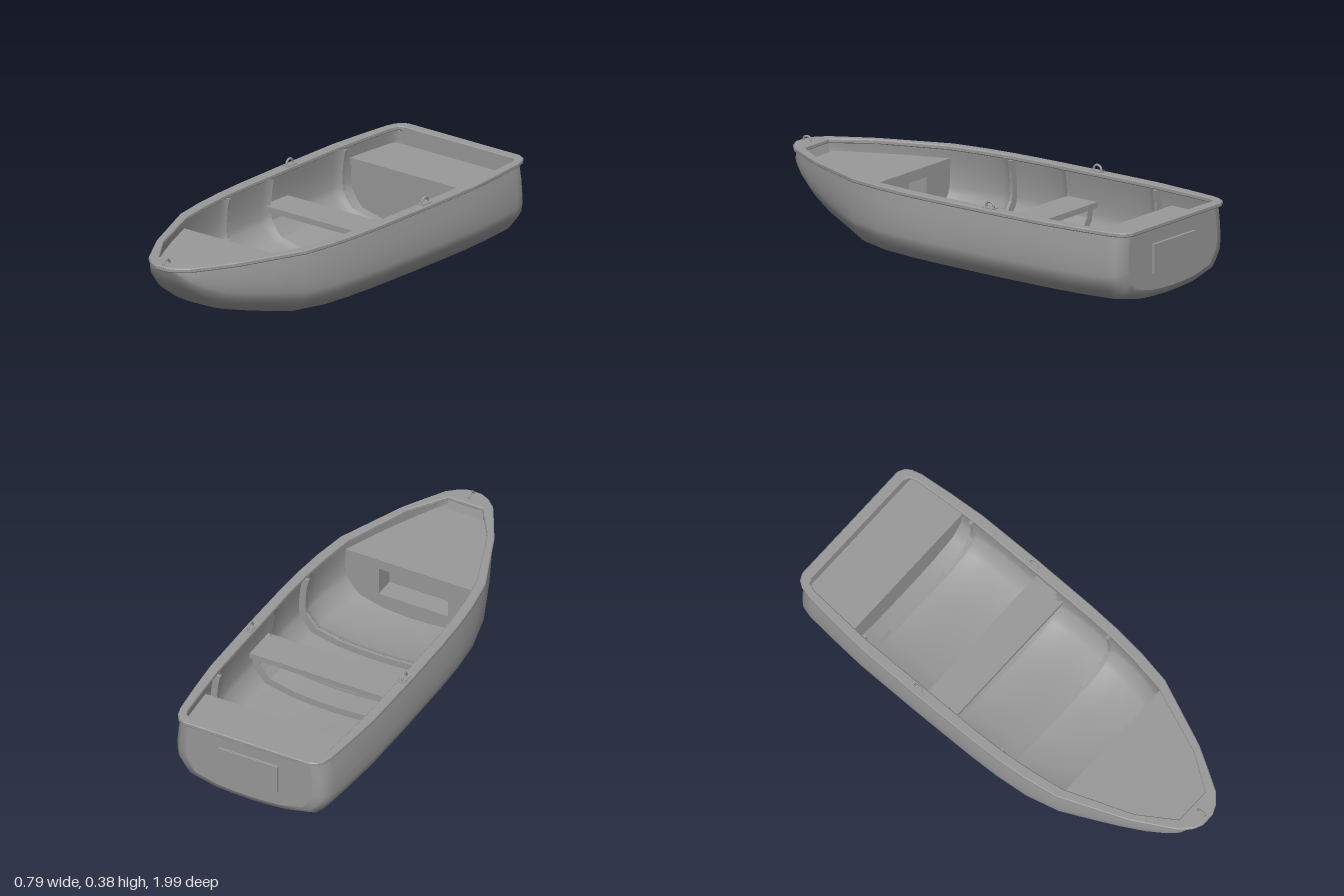
import * as THREE from 'three';

const mat = new THREE.MeshStandardMaterial({ color: 0x999999, side: THREE.DoubleSide });
const TOP = 0.33;

// Hull stations, stern to bow: z, half breadth, keel height
const STATIONS = [
  [-0.977, 0.3, 0.05], [-0.968, 0.335, 0.028], [-0.945, 0.357, 0.013], [-0.9, 0.368, 0.004],
  [-0.75, 0.38, 0.001], [-0.6, 0.39, 0.001], [-0.3, 0.392, 0.003], [0, 0.39, 0.007],
  [0.15, 0.385, 0.01], [0.3, 0.37, 0.014], [0.45, 0.343, 0.018], [0.6, 0.283, 0.058],
  [0.7, 0.236, 0.088], [0.8, 0.188, 0.134], [0.88, 0.145, 0.192], [0.93, 0.112, 0.245],
  [0.952, 0.083, 0.285], [0.963, 0.055, 0.31], [0.969, 0.02, 0.327],
];
// Half section from keel to gunwale: fraction of breadth, fraction of height
const PROFILE = [[0, 0], [0.25, 0.008], [0.5, 0.03], [0.84, 0.12], [0.92, 0.23], [0.985, 0.34],
  [1, 0.44], [1, 0.6], [0.985, 0.8], [0.955, 1]];

function stationAt(z) {
  const i = Math.min(Math.max(STATIONS.findIndex((s) => s[0] >= z), 1), STATIONS.length - 1);
  const [a, b] = [STATIONS[i - 1], STATIONS[i]];
  const t = (z - a[0]) / (b[0] - a[0]);
  return a.map((v, k) => v + (b[k] - v) * t);
}

// Full section as 2D points, from the right gunwale under the keel to the left;
// the bilge is drawn in towards the bow
function section(z, inset = 0, top = TOP) {
  const [, w0, k0] = stationAt(z);
  const w = Math.max(w0 - inset, 0.002), k = Math.min(k0 + inset, top - 0.002);
  const round = THREE.MathUtils.clamp((z - 0.3) * 0.8, 0, 0.2);
  const half = PROFILE.map(([x, y]) => new THREE.Vector2(
    x * w * (1 - round * (1 - y) ** 3), Math.min(k + y * (TOP - k), top)));
  return [...half.slice(1).reverse().map((p) => new THREE.Vector2(-p.x, p.y)), ...half];
}

function add(parent, name, geo, x = 0, y = 0, z = 0) {
  const mesh = new THREE.Mesh(geo, mat);
  mesh.name = name;
  mesh.position.set(x, y, z);
  parent.add(mesh);
  return mesh;
}

const box = (w, h, d) => new THREE.BoxGeometry(w, h, d);
const extrude = (shape, depth) => new THREE.ExtrudeGeometry(shape, { depth, bevelEnabled: false });

// Skin lofted through rows of [z, inset]
function skin(rows, inward) {
  const pos = [], idx = [];
  const n = PROFILE.length * 2 - 1;
  rows.forEach(([z, inset], i) => {
    section(z, inset).forEach((p) => pos.push(p.x, p.y, z));
    if (i === 0) return;
    for (let j = 0; j < n - 1; j++) {
      const a = (i - 1) * n + j, b = a + 1, c = a + n, d = c + 1;
      if (inward) idx.push(a, c, b, b, c, d);
      else idx.push(a, b, c, b, d, c);
    }
  });
  const g = new THREE.BufferGeometry();
  g.setAttribute('position', new THREE.Float32BufferAttribute(pos, 3));
  g.setIndex(idx);
  g.computeVertexNormals();
  return g;
}

// Lining of one bay, sweeping down from the frame at its aft end
function bay(z0, z1) {
  const sweep = [[0, 0.045], [0.01, 0.034], [0.04, 0.025], [0.1, 0.018], [0.18, 0.015]];
  const rest = STATIONS.map((s) => s[0]).filter((z) => z > z0 + 0.2 && z < z1);
  return skin([...sweep.map(([d, inset]) => [z0 + d, inset]), ...[...rest, z1].map((z) => [z, 0.015])], true);
}

// Flat plan shape (x, z) mirrored about the centreline, laid down with its top at y = 0
function mirrored(pts) {
  return [...pts, ...[...pts].reverse().map(([x, z]) => [-x, z])].map(([x, z]) => new THREE.Vector2(x, z));
}

// Deck that follows the inside of the hull between two stations
function deck(z0, z1, thickness) {
  const zs = [z0, ...STATIONS.map((s) => s[0]).filter((z) => z > z0 && z < z1), z1];
  const outline = mirrored(zs.map((z) => [(stationAt(z)[1] - 0.015) * 0.985, z]));
  return extrude(new THREE.Shape(outline), thickness).rotateX(Math.PI / 2);
}

// U-shaped frame against the inside of the hull
function rib(z, depth, top) {
  const inner = section(z, 0.045, top).reverse();
  return extrude(new THREE.Shape([...section(z, 0.012, top), ...inner]), depth);
}

function rectangle(w, h, y, Type = THREE.Shape) {
  return new Type([[-w, y - h], [w, y - h], [w, y + h], [-w, y + h]].map((p) => new THREE.Vector2(...p)));
}

export function createModel() {
  const boat = new THREE.Group();
  boat.name = 'rowingBoat';

  // Outer hull, lining in bays, and transom
  add(boat, 'hull', skin(STATIONS.map((s) => [s[0], 0]), false));
  add(boat, 'sternLining', skin([-0.955, -0.945, -0.9, -0.75, -0.62].map((z) => [z, 0.015]), true));
  for (const [z0, z1] of [[-0.615, -0.15], [-0.15, 0.15], [0.15, 0.935]]) add(boat, 'lining', bay(z0, z1));
  const sternZ = STATIONS[0][0];
  add(boat, 'transom', new THREE.ShapeGeometry(new THREE.Shape(section(sternZ))), 0, 0, sternZ);
  add(boat, 'transomLining', new THREE.ShapeGeometry(new THREE.Shape(section(-0.955, 0.015))), 0, 0, -0.955);
  add(boat, 'motorPad', box(0.28, 0.13, 0.018), 0, 0.192, -0.981);

  // Gunwale all round, with softened edges
  const outer = [[0.3, -1], [0.33, -0.985], [0.347, -0.96], [0.36, -0.915], [0.376, -0.77], [0.39, -0.6],
    [0.393, -0.3], [0.39, 0], [0.384, 0.15], [0.37, 0.3], [0.345, 0.45], [0.222, 0.75], [0.165, 0.85],
    [0.115, 0.935], [0.07, 0.975], [0.03, 0.993]];
  const inner = [[0.29, -0.955], [0.313, -0.945], [0.325, -0.91], [0.335, -0.77], [0.345, -0.6], [0.345, 0],
    [0.34, 0.15], [0.325, 0.3], [0.302, 0.45], [0.187, 0.75], [0.082, 0.905]];
  const rim = new THREE.Shape(mirrored(outer));
  rim.holes.push(new THREE.Path(mirrored(inner)));
  add(boat, 'gunwale', new THREE.ExtrudeGeometry(rim, {
    depth: 0.012, bevelThickness: 0.004, bevelSize: 0.004, bevelOffset: -0.004, bevelSegments: 1,
  }).rotateX(Math.PI / 2), 0, 0.341);

  // Foredeck with its breast block and locker
  add(boat, 'foredeck', deck(0.45, 0.925, 0.02), 0, 0.285);
  add(boat, 'breastBlock', box(0.17, 0.055, 0.02), 0, 0.311, 0.917).rotation.x = 0.25;
  const front = new THREE.Shape(section(0.45, 0.012, 0.27));
  front.holes.push(rectangle(0.165, 0.065, 0.173, THREE.Path));
  add(boat, 'lockerBulkhead', extrude(front, 0.015), 0, 0, 0.452);
  const locker = rectangle(0.175, 0.075, 0.173);
  locker.holes.push(rectangle(0.165, 0.065, 0.173, THREE.Path));
  add(boat, 'lockerWalls', extrude(locker, 0.09), 0, 0, 0.46);
  add(boat, 'lockerBack', box(0.35, 0.15, 0.01), 0, 0.173, 0.55);

  // Stern seat and its bulkhead
  add(boat, 'sternSeat', deck(-0.957, -0.69, 0.03), 0, 0.265);
  add(boat, 'sternBulkhead', extrude(new THREE.Shape(section(-0.7, 0.012, 0.25)), 0.01), 0, 0, -0.712);

  // Middle seat and frames
  add(boat, 'middleSeat', box(0.745, 0.025, 0.16), 0, 0.1975, -0.21);
  add(boat, 'seatFrame', rib(-0.15, 0.11, 0.187), 0, 0, -0.26);
  for (const z of [-0.63, 0.135]) add(boat, 'rib', rib(z, 0.015, 0.325), 0, 0, z);

  // Rings on the gunwale and bow
  for (const [name, x, y, z] of [['oarRing', 0.366, 0.353, -0.295],
    ['oarRing', -0.366, 0.353, -0.295], ['bowRing', 0, 0.346, 0.955]]) {
    const fitting = new THREE.Group();
    fitting.name = name;
    fitting.position.set(x, y, z);
    add(fitting, 'ring', new THREE.TorusGeometry(0.02, 0.005, 8, 20).rotateY(Math.PI / 2));
    if (x) add(fitting, 'ringBase', box(0.03, 0.006, 0.06), 0, -0.007, 0);
    boat.add(fitting);
  }
  return boat;
}
